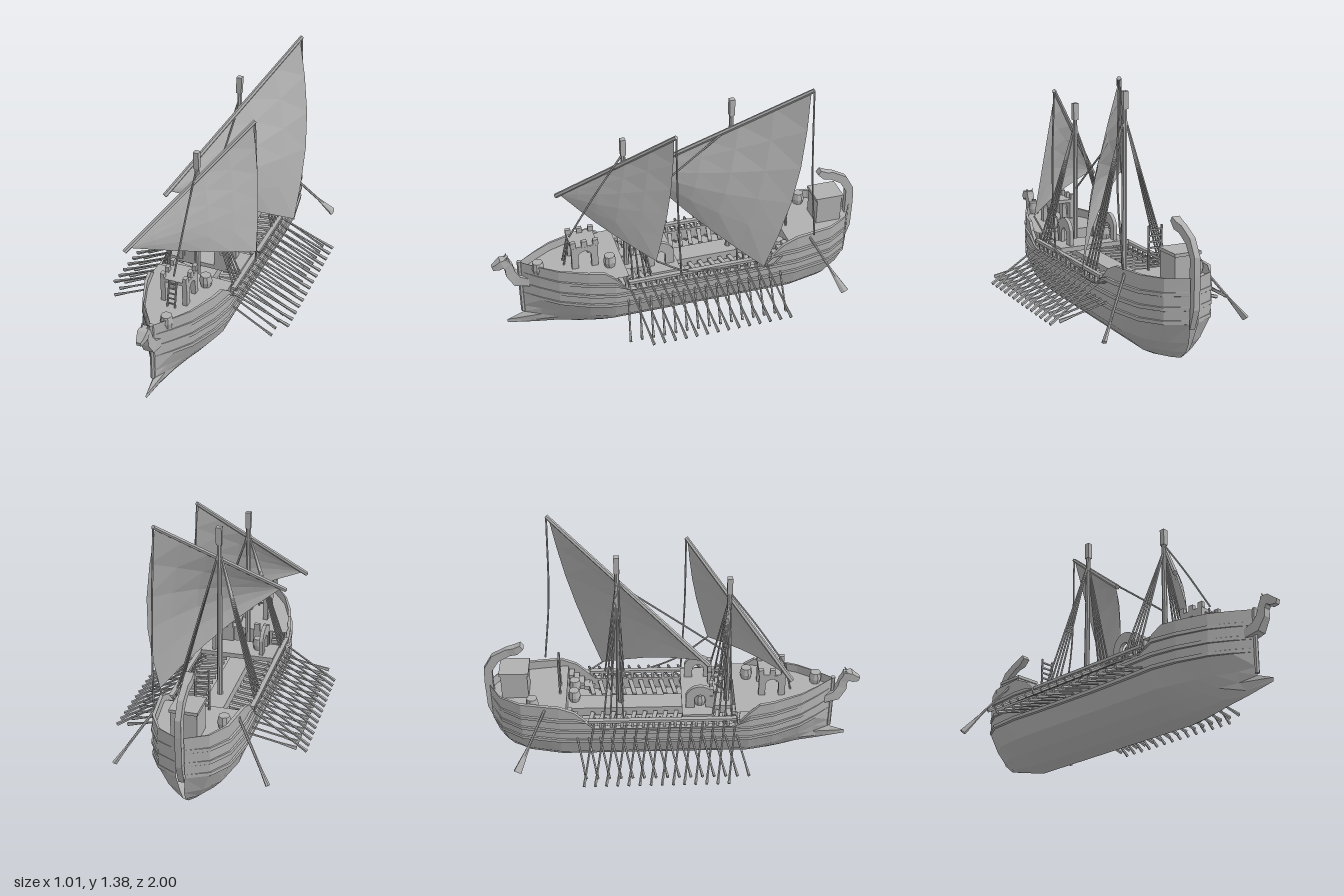
import * as THREE from 'three';

const V = (x, y, z) => new THREE.Vector3(x, y, z);

// Piecewise linear lookup in a table of [z, value], z descending
function look(t, z) {
  if (z >= t[0][0]) return t[0][1];
  for (let i = 1; i < t.length; i++)
    if (z >= t[i][0]) {
      const k = (t[i - 1][0] - z) / (t[i - 1][0] - t[i][0]);
      return t[i - 1][1] + (t[i][1] - t[i - 1][1]) * k;
    }
  return t[t.length - 1][1];
}
const BEAM = [[.86, 0], [.77, .32], [.68, .6], [.53, .87], [.4, 1], [-.6, 1], [-.8, .87], [-.91, .58], [-.97, .1]];
const KEEL = [[.86, .085], [.77, .055], [.6, .02], [.46, 0], [-.6, 0], [-.97, .04]];
const TOP = [[.86, .475], [.45, .46], [.4, .42], [.34, .35], [.3, .34], [-.42, .34], [-.46, .38], [-.52, .44], [-.6, .475], [-.97, .485]];
const STATIONS = [.86, .77, .68, .6, .53, .45, .4, .34, .3, 0, -.42, -.46, -.52, -.6, -.7, -.8, -.86, -.91, -.97];
// Midship section with raised wales: [height, half width]
const SECTION = [[0, 0], [.03, .06], [.085, .125], [.15, .185], [.235, .212], [.237, .225], [.255, .225], [.257, .216],
  [.3, .218], [.302, .228], [.32, .228], [.322, .219], [.37, .219], [.372, .228], [.39, .228], [.392, .217], [1, .218], [1, .2], [.26, .2]];

// Surface from rows of points
function loft(rows, flip) {
  const n = rows[0].length, pos = [], idx = [];
  rows.forEach(r => r.forEach(p => pos.push(p.x, p.y, p.z)));
  for (let i = 0; i < rows.length - 1; i++)
    for (let j = 0; j < n - 1; j++) {
      const a = i * n + j, b = a + n, c = b + 1, d = a + 1;
      if (flip) idx.push(a, c, b, a, d, c);
      else idx.push(a, b, c, a, c, d);
    }
  const g = new THREE.BufferGeometry();
  g.setAttribute('position', new THREE.Float32BufferAttribute(pos, 3));
  g.setIndex(idx);
  g.computeVertexNormals();
  return g;
}

export function createModel() {
  const ship = new THREE.Group();
  ship.name = 'galley';
  const grey = new THREE.MeshStandardMaterial({ color: 0xb0b0b0, flatShading: true, side: THREE.DoubleSide });
  grey.name = 'plain grey';

  const add = (name, geo, x = 0, y = 0, z = 0) => {
    const m = new THREE.Mesh(geo, grey);
    m.name = name;
    m.position.set(x, y, z);
    ship.add(m);
    return m;
  };
  const box = (name, w, h, d, x, y, z) => add(name, new THREE.BoxGeometry(w, h, d), x, y, z);
  const rod = (name, a, b, r0, r1 = r0, sides = 6) => {
    const m = add(name, new THREE.CylinderGeometry(r1, r0, a.distanceTo(b), sides));
    m.position.copy(a).lerp(b, .5);
    m.quaternion.setFromUnitVectors(V(0, 1, 0), b.clone().sub(a).normalize());
    return m;
  };
  const rope = (name, ...pts) => add(name, new THREE.TubeGeometry(new THREE.CatmullRomCurve3(pts), 10, .005, 5));
  // Tapered square beam in the centre plane: [z, y, half width, half thickness]
  const beam = (name, pts) => {
    const rows = pts.map(([z, y, w, t], i) => {
      const a = pts[Math.max(i - 1, 0)], b = pts[Math.min(i + 1, pts.length - 1)];
      const dz = b[0] - a[0], dy = b[1] - a[1], l = Math.hypot(dz, dy), nz = -dy / l * t, ny = dz / l * t;
      return [[1, 1], [-1, 1], [-1, -1], [1, -1], [1, 1]].map(([sx, s]) => V(sx * w, y + ny * s, z + nz * s));
    });
    const cap = r => r.map(() => r[0].clone().add(r[2]).multiplyScalar(.5));
    add(name, loft([cap(rows[0]), ...rows, cap(rows[rows.length - 1])], true));
  };

  // Hull: both halves, with ram at the bow and rising stern
  for (const s of [1, -1]) {
    const rows = STATIONS.map(z => SECTION.map(([h, w], j) => {
      const k = look(KEEL, z), low = h < .2, b = look(BEAM, z);
      const y = Math.min(low ? k + h * (1 - k / .24) : h + .03 * z * z, look(TOP, z));
      let zz = z < -.6 && low ? -.6 + (z + .6) * [.45, .7, .85, .93][j] : z;
      if (j < 2 && z > .7) zz += z > .8 ? .09 : .03;
      return V(s * w * (low ? Math.pow(b, 1.4) : b), y, zz);
    }));
    add('hullSide', loft(rows, s < 0));
  }

  // Decks following the hull outline
  const deck = (name, z0, z1, y) => {
    const zs = [z0, ...STATIONS.filter(z => z < z0 && z > z1), z1];
    add(name, loft(zs.map(z => [V(-.208 * look(BEAM, z), y, z), V(.208 * look(BEAM, z), y, z)]), false)).geometry.index.array.reverse();
  };
  deck('foreDeck', .855, .33, .42);
  deck('rowingDeck', .34, -.58, .27);
  deck('aftDeck', -.57, -.97, .43);
  box('foreBulkhead', .4, .15, .01, 0, .345, .33);
  box('aftBulkhead', .4, .16, .01, 0, .35, -.57);
  box('gangway', .11, .05, .9, 0, .315, -.12);
  box('midPlatform', .4, .025, .16, 0, .39, .125);

  // Stern post with forward curl, and bow figurehead
  beam('sternPost', [[-.94, .24, .014, .02], [-.972, .34, .016, .022], [-.975, .5, .016, .022], [-.972, .58, .015, .022],
    [-.93, .65, .015, .024], [-.86, .69, .015, .022], [-.82, .70, .02, .022], [-.785, .725, .02, .014]]);
  beam('figureheadNeck', [[.8, .345, .034, .02], [.88, .37, .027, .03], [.91, .42, .02, .026], [.915, .46, .018, .022], [.935, .495, .02, .024]]);
  beam('figureheadHead', [[.91, .5, .018, .018], [.95, .492, .024, .024], [.975, .475, .018, .02], [1, .468, .012, .012]]);
  for (const s of [1, -1]) rod('figureheadEar', V(.012 * s, .5, .94), V(.018 * s, .53, .92), .008, .002, 4);
  rod('stemPost', V(0, .15, .86), V(0, .48, .86), .012);

  // Rowing side: rails, posts, benches and two banks of oars
  for (const s of [1, -1]) {
    box('waistRail', .024, .016, .78, s * .212, .382, -.06);
    for (let i = 0; i < 15; i++) {
      const z = -.44 + i * .0558;
      box('railPost', .014, .05, .014, s * .211, .355, z);
      const bench = box('bench', .12, .014, .022, s * .135, .325, z);
      bench.rotation.y = s * .2;
    }
    const oar = (a, b) => {
      rod('oarShaft', a, b, .0055, .0055, 5);
      rod('oarBlade', a.clone().lerp(b, .72), b, .006, .011, 5).scale.z = .7;
    };
    for (let i = 0; i < 14; i++) {
      const z = -.47 + i * .0573;
      oar(V(s * .17, .37, z + .055), V(s * .5, .187, z));
    }
    for (let i = 0; i < 15; i++) {
      const z = -.46 + i * .0603;
      oar(V(s * .17, .285, z - .06), V(s * .445, .19, z));
    }
    // Steering oar
    const a = V(s * .2, .46, -.67), b = V(s * .385, .19, -.82);
    rod('steeringOarShaft', a, b, .007);
    rod('steeringOarBlade', a.clone().lerp(b, .6), b, .008, .024, 6).scale.z = .5;
    // Stairs from waist to the end decks
    for (let i = 0; i < 5; i++) {
      box('aftStair', .06, .02, .028, s * .165, .3 + i * .026, -.44 - i * .027);
      box('foreStair', .06, .02, .022, s * .165, .3 + i * .026, .225 + i * .022);
    }
  }

  // Wall panel with an arched opening, profile in z and y, thickness along x
  const archWall = (name, w, h, ow, oh, t, x, y, z, round) => {
    const sh = new THREE.Shape();
    sh.moveTo(-w / 2, 0);
    sh.lineTo(-ow / 2, 0);
    sh.lineTo(-ow / 2, oh);
    sh.absarc(0, oh, ow / 2, Math.PI, 0, true);
    sh.lineTo(ow / 2, 0);
    sh.lineTo(w / 2, 0);
    sh.lineTo(w / 2, round ? h * .6 : h);
    if (round) sh.quadraticCurveTo(w / 3, h, 0, h).quadraticCurveTo(-w / 3, h, -w / 2, h * .6);
    else sh.lineTo(-w / 2, h);
    const g = new THREE.ExtrudeGeometry(sh, { depth: t, bevelEnabled: false, curveSegments: 5 });
    g.translate(0, 0, -t / 2);
    g.rotateY(Math.PI / 2);
    return add(name, g, x, y, z);
  };

  // Fore castle with battlements and ladder
  for (const s of [1, -1]) {
    archWall('foreCastleWall', .14, .13, .07, .07, .025, s * .058, .42, .525);
    for (const z of [.465, .525, .585]) box('merlon', .02, .03, .028, s * .06, .57, z);
    rod('castleLadderRail', V(s * .02, .42, .63), V(s * .02, .56, .6), .005);
  }
  box('foreCastleTop', .14, .018, .14, 0, .547, .525);
  for (let i = 0; i < 5; i++) box('castleLadderRung', .04, .006, .006, 0, .44 + i * .026, .626 - i * .0055);

  // Arched screens amidships, with crenels across the front
  for (const s of [1, -1]) {
    archWall('midScreen', .15, .14, .06, .055, .02, s * .13, .4, .14, true);
    for (const x of [.075, .125]) box('midCrenel', .03, .12, .02, s * x, .46, .2);
    box('midParapet', .09, .08, .015, s * .1, .44, .2);
  }

  // Stern cabin box, roof and ladder
  box('sternCabin', .13, .15, .14, 0, .5, -.835);
  box('sternCabinRoof', .14, .016, .155, 0, .583, -.835);
  for (const s of [1, -1]) rod('sternLadderRail', V(s * .035, .3, -.6), V(s * .035, .65, -.6), .006);
  for (let i = 0; i < 7; i++) box('sternLadderRung', .07, .008, .008, 0, .45 + i * .03, -.6);

  // Barrels
  for (const [x, y, z] of [[-.15, .43, -.74], [.02, .34, -.53], [.11, .34, -.53], [-.1, .4, .14], [.09, .42, .4], [.04, .42, .77]])
    add('barrel', new THREE.LatheGeometry([[0, 0], [.027, 0], [.034, .03], [.027, .065], [0, .065]].map(p => new THREE.Vector2(...p)), 10), x, y, z);

  // Masts, yards, lateen sails and rigging
  const rig = (side, mastZ, mastTop, A, B, clew, leech, belly) => {
    rod(side + 'Mast', V(0, .26, mastZ), V(0, mastTop, mastZ), .016, .012, 8);
    box(side + 'MastHead', .028, .09, .028, 0, mastTop - .045, mastZ);
    rod(side + 'Yard', A, B, .013, .011, 6);
    const p0 = A.clone().lerp(B, .03), p1 = A.clone().lerp(B, .985);
    const n = clew.clone().sub(p0).cross(p1.clone().sub(p0)).normalize();
    const rows = [];
    for (let i = 0; i <= 5; i++) {
      const u = i / 5, row = [];
      for (let j = 0; j <= 5; j++) {
        const v = j / 5, bow = Math.sin(Math.PI * v);
        const p = p0.clone().lerp(p1, u).lerp(p0.clone().lerp(clew, u), v);
        p.addScaledVector(leech, u * bow).addScaledVector(n, belly * Math.sin(Math.PI * u) * Math.sin(Math.PI * v * .8));
        row.push(p);
      }
      rows.push(row);
    }
    add(side + 'Sail', loft(rows, true));
    for (const s of [1, -1])
      for (let i = 0; i < 4; i++)
        rod(side + 'Shroud', V(s * .21, .36, mastZ - .09 + i * .035), V(0, mastTop - .12, mastZ), .005, .005, 5);
  };
  rig('main', -.28, 1.26, V(-.23, .75, .18), V(.215, 1.372, -.63), V(.29, .385, -.385), V(.045, 0, -.035), .06);
  rig('fore', .29, 1.125, V(-.26, .665, .6), V(.22, 1.23, .075), V(.285, .55, .2), V(.01, 0, -.02), .04);
  rope('forePeakRope', V(.22, 1.22, .075), V(.235, .8, .07), V(.23, .38, .05));
  rope('mainPeakRope', V(.215, 1.36, -.63), V(.23, .85, -.65), V(.22, .48, -.69));
  rope('foreSheet', V(.285, .55, .2), V(.26, .43, .03), V(.2, .34, -.3));
  rope('mainSheet', V(.29, .385, -.385), V(.25, .36, -.46), V(.2, .38, -.54));
  rope('mainStay', V(0, 1.1, -.28), V(0, .78, .13), V(0, .66, .28));
  rope('foreStay', V(0, 1.04, .29), V(0, .82, .44), V(0, .58, .59));
  return ship;
}
